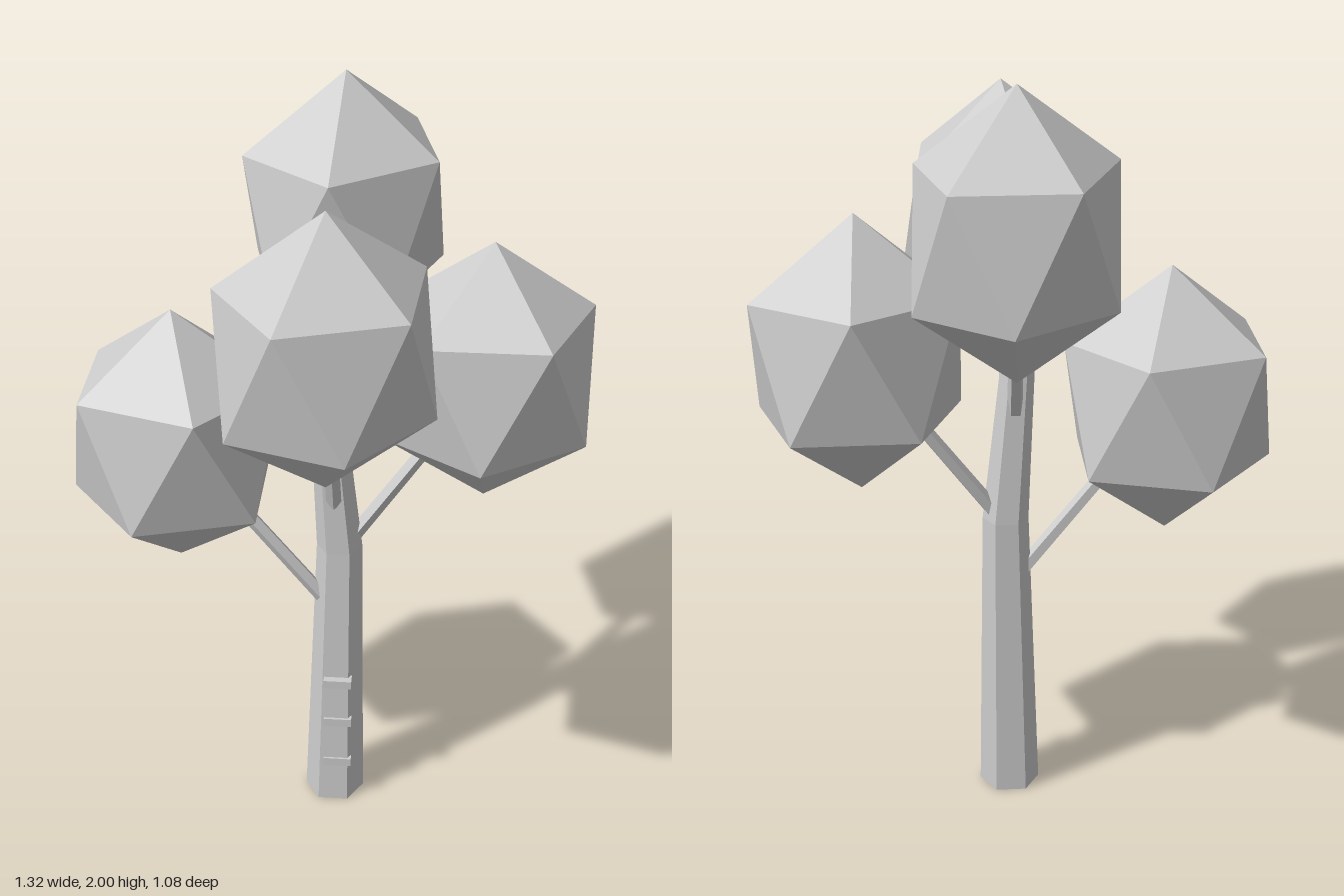
import * as THREE from 'three';

const grey = new THREE.MeshStandardMaterial({ color: 0xcccccc, flatShading: true });
grey.name = 'light grey';

// Hexagonal trunk rings: [x, y, z, radius]
const RINGS = [[0.02, 0, 0.01, 0.08], [0.03, 0.8, -0.005, 0.06], [-0.03, 1.58, 0.007, 0.03]];

// Each crown: its centre and the point where its branch leaves the trunk
const CROWNS = [
  { name: 'left', at: [-0.39, 1.115, 0.005], from: [0.01, 0.61, 0.005] },
  { name: 'right', at: [0.4, 1.29, -0.08], from: [0.06, 0.82, -0.01] },
  { name: 'front', at: [0.02, 1.525, 0.3], from: [0.018, 0.95, 0.03] },
  { name: 'back', at: [0.02, 1.64, -0.28], from: [0.005, 1.08, -0.015] },
];

// Bent, tapering trunk with caps
function trunkGeometry() {
  const sides = 6, pos = [], idx = [];
  for (const [x, y, z, r] of RINGS) {
    for (let i = 0; i < sides; i++) {
      const a = (i / sides) * Math.PI * 2;
      pos.push(x + r * Math.cos(a), y, z + r * Math.sin(a));
    }
  }
  for (let k = 0; k < RINGS.length - 1; k++) {
    for (let i = 0; i < sides; i++) {
      const a = k * sides + i, b = k * sides + (i + 1) % sides;
      idx.push(a, a + sides, b, b, a + sides, b + sides);
    }
  }
  const top = (RINGS.length - 1) * sides;
  for (let i = 1; i < sides - 1; i++) {
    idx.push(0, i, i + 1, top, top + i + 1, top + i);
  }
  const g = new THREE.BufferGeometry();
  g.setAttribute('position', new THREE.Float32BufferAttribute(pos, 3));
  g.setIndex(idx);
  const flat = g.toNonIndexed();
  flat.computeVertexNormals();
  return flat;
}

// Thin branch between two points
function branch(from, to) {
  const a = new THREE.Vector3(...from), b = new THREE.Vector3(...to);
  const dir = b.clone().sub(a);
  const mesh = new THREE.Mesh(new THREE.CylinderGeometry(0.018, 0.021, dir.length(), 5), grey);
  mesh.position.copy(a).add(b).multiplyScalar(0.5);
  mesh.quaternion.setFromUnitVectors(new THREE.Vector3(0, 1, 0), dir.normalize());
  return mesh;
}

export function createModel() {
  const tree = new THREE.Group();
  tree.name = 'tree';
  const add = (mesh, name) => { mesh.name = name; tree.add(mesh); return mesh; };

  add(new THREE.Mesh(trunkGeometry(), grey), 'trunk');

  // Icosahedron standing on a vertex, stretched upward
  const crown = new THREE.IcosahedronGeometry(1, 0);
  crown.rotateZ(-Math.atan(2 / (1 + Math.sqrt(5))));
  crown.scale(0.302, 0.36, 0.276);
  CROWNS.forEach(({ name, at, from }, i) => {
    const leaves = add(new THREE.Mesh(crown, grey), name + ' crown');
    leaves.position.set(...at);
    leaves.rotation.y = i * 0.3;
    add(branch(from, at), name + ' branch');
  });

  // Ladder steps on the front of the trunk: [height, front face]
  for (const [y, z] of [[0.13, 0.079], [0.265, 0.075], [0.4, 0.082]]) {
    const step = add(new THREE.Mesh(new THREE.BoxGeometry(0.075, 0.024, 0.03), grey), 'step');
    step.position.set(0.032, y, z - 0.015);
  }
  return tree;
}
